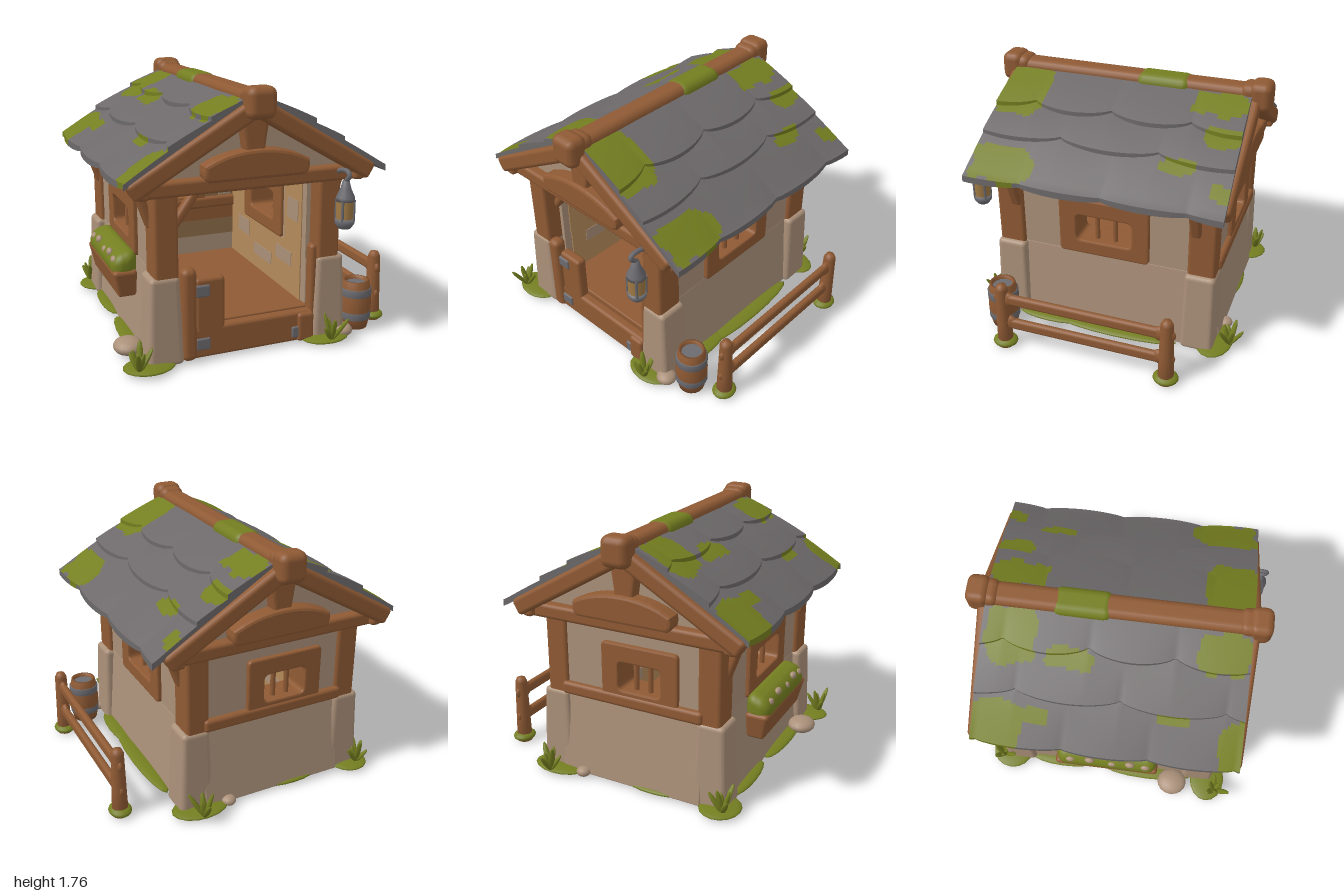
import * as THREE from 'three';
import { toCreasedNormals } from 'three/addons/utils/BufferGeometryUtils.js';
import { RoundedBoxGeometry } from 'three/addons/geometries/RoundedBoxGeometry.js';

const paint = (name, color) => {
  const m = new THREE.MeshStandardMaterial({ color });
  m.name = name;
  return m;
};

export function createModel() {
  const wood = paint('wood', 0x8f5a34), plaster = paint('plaster', 0xaa9079), slate = paint('slate', 0x6d696a);
  const moss = paint('moss', 0x747e20), tan = paint('aged plaster', 0x8f6d49), iron = paint('iron', 0x6b6b70);
  const glass = paint('lantern glass', 0xa07a45), warm = paint('warm plaster', 0xb48a5a);
  const model = new THREE.Group();
  model.name = 'cottage';
  const house = new THREE.Group();
  house.name = 'house';
  house.position.x = -0.135;
  model.add(house);

  const add = (parent, name, geo, mat, x = 0, y = 0, z = 0) => {
    const m = new THREE.Mesh(geo, mat);
    m.name = name;
    m.position.set(x, y, z);
    parent.add(m);
    return m;
  };
  // rounded beam; r is the edge radius
  const box = (parent, name, mat, w, h, d, x, y, z, r = 0.025) =>
    add(parent, name, new RoundedBoxGeometry(w, h, d, 2, Math.min(r, w / 2.1, h / 2.1, d / 2.1)), mat, x, y, z);
  const blob = (parent, name, mat, rx, ry, rz, x, y, z) => {
    const m = add(parent, name, new THREE.SphereGeometry(1, 16, 10), mat, x, y, z);
    m.scale.set(rx, ry, rz);
    return m;
  };
  // move the vertices of a geometry by a rule
  const bend = (geo, rule) => {
    const p = geo.attributes.position, v = new THREE.Vector3();
    for (let i = 0; i < p.count; i++) { rule(v.fromBufferAttribute(p, i)); p.setXYZ(i, v.x, v.y, v.z); }
    geo.computeVertexNormals();
    return geo;
  };
  const roundRect = (C, x0, x1, y0, y1, r) => {
    const s = new C();
    s.moveTo(x0 + r, y0); s.lineTo(x1 - r, y0); s.quadraticCurveTo(x1, y0, x1, y0 + r);
    s.lineTo(x1, y1 - r); s.quadraticCurveTo(x1, y1, x1 - r, y1);
    s.lineTo(x0 + r, y1); s.quadraticCurveTo(x0, y1, x0, y1 - r);
    s.lineTo(x0, y0 + r); s.quadraticCurveTo(x0, y0, x0 + r, y0);
    return s;
  };
  const extrude = (shape, depth, bevel = 0) => new THREE.ExtrudeGeometry(shape, {
    depth, curveSegments: 5, bevelEnabled: bevel > 0, bevelSize: bevel, bevelThickness: bevel, bevelSegments: 2 });

  // wall with a barred window, outer face at local z = 0
  const wall = (name, half, cx, hw, x, z, turn) => {
    const g = new THREE.Group();
    g.name = name;
    g.position.set(x, 0, z);
    g.rotation.y = turn;
    house.add(g);
    const panel = roundRect(THREE.Shape, -half, half, 0.55, 1.16, 0.001);
    panel.holes.push(roundRect(THREE.Path, cx - hw - 0.02, cx + hw + 0.02, 0.67, 0.93, 0.01));
    add(g, 'wallPanel', extrude(panel, 0.16), plaster, 0, 0, -0.16);
    const foot = new RoundedBoxGeometry(half * 2, 0.58, 0.16, 2, 0.008);
    add(g, 'wallFoot', bend(foot, v => { if (v.y < 0 && v.z > 0) v.z += 0.05; }), plaster, 0, 0.31, -0.078);
    const frame = roundRect(THREE.Shape, cx - hw - 0.1, cx + hw + 0.1, 0.61, 1.01, 0.02);
    frame.holes.push(roundRect(THREE.Path, cx - hw, cx + hw, 0.69, 0.91, 0.05));
    add(g, 'windowFrame', extrude(frame, 0.19, 0.012), wood, 0, 0, -0.172);
    for (const s of [-1, 1]) add(g, 'windowBar', new THREE.CylinderGeometry(0.018, 0.018, 0.26, 8), wood, cx + s * hw * 0.31, 0.8, -0.04);
    return g;
  };
  wall('rightWall', 0.66, 0, 0.21, 0.61, 0, Math.PI / 2);
  wall('leftWall', 0.66, 0, 0.21, -0.61, 0, -Math.PI / 2);
  const back = wall('backWall', 0.52, 0.07, 0.165, 0, -0.76, Math.PI);
  box(back, 'outerRail', wood, 1.04, 0.09, 0.06, 0, 0.63, 0.01);
  box(back, 'innerRail', wood, 1.0, 0.09, 0.06, 0, 0.645, -0.165);

  // aged patches inside the room
  const patch = (name, mat, w, h, d, x, y, z) => add(house, name, new THREE.BoxGeometry(w, h, d), mat, x, y, z);
  patch('backPatchUpper', tan, 0.27, 0.4, 0.008, 0.31, 0.88, -0.596);
  patch('backChip', plaster, 0.1, 0.09, 0.008, 0.37, 0.74, -0.592);
  patch('backPatchLower', tan, 0.92, 0.13, 0.008, 0, 0.435, -0.596);
  patch('backBoard', wood, 0.92, 0.1, 0.008, 0, 0.55, -0.596);
  for (const s of [-1, 1]) {
    patch('sideWash', warm, 0.008, 0.37, 1.2, s * 0.447, 0.415, 0);
    for (const z of [-0.47, 0.48]) patch('sideWash', warm, 0.008, 0.5, 0.25, s * 0.447, 0.85, z);
    for (const [y, z, h, d] of [[0.48, 0.35, 0.1, 0.24], [0.38, 0, 0.09, 0.3], [0.5, -0.35, 0.12, 0.2], [0.85, 0.48, 0.15, 0.16]])
      patch('sideChip', plaster, 0.008, h, d, s * 0.443, y, z);
  }

  // floor and front gate
  box(house, 'floor', wood, 1.1, 0.21, 1.42, 0, 0.125, -0.02, 0.01);
  box(house, 'base', wood, 1.24, 0.04, 1.5, 0, 0.03, 0, 0.01);
  box(house, 'gateSill', wood, 0.93, 0.21, 0.08, 0, 0.125, 0.74);
  box(house, 'gatePanel', wood, 0.2, 0.53, 0.08, -0.275, 0.295, 0.74);
  box(house, 'gatePost', wood, 0.1, 0.62, 0.1, -0.42, 0.33, 0.76, 0.04);
  box(house, 'gateEdge', wood, 0.05, 0.62, 0.08, 0.46, 0.37, 0.73);
  box(house, 'gateFoot', wood, 0.12, 0.2, 0.06, 0.4, 0.12, 0.77);
  for (const [x, y] of [[-0.33, 0.48], [-0.33, 0.12], [0.35, 0.09]]) box(house, 'hinge', iron, 0.1, 0.08, 0.03, x, y, 0.777, 0.012);

  for (const s of [-1, 1]) {
    // corner posts on flared plaster feet
    for (const t of [-1, 1]) {
      box(house, 'cornerPost', wood, 0.16, 0.62, 0.19, s * 0.56, 0.86, t * 0.685);
      const foot = new RoundedBoxGeometry(0.19, 0.59, 0.21, 3, 0.03);
      add(house, 'postFoot', bend(foot, v => {
        const k = 1 + 0.28 * Math.max(0, 0.3 - v.y) / 0.6;
        v.x *= k; v.z *= 1 + (k - 1) * 0.4;
      }), plaster, s * 0.575, 0.305, t * 0.685);
      // eave bracket
      const brace = box(house, 'eaveBracket', wood, 0.06, 0.27, 0.08, s * 0.66, 1.02, t * 0.64);
      brace.rotation.z = -s * 0.34;
      // gable rafters
      const rafter = box(house, 'rafter', wood, 0.93, 0.12, 0.12, s * 0.4, 1.635 - 0.58 * 0.4, t * 0.83, 0.03);
      rafter.rotation.z = -s * Math.atan(0.58);
    }
    box(house, 'wallPlate', wood, 0.13, 0.22, 1.4, s * 0.535, 1.2, 0);
    box(house, 'eaveBeam', wood, 0.08, 0.09, 1.74, s * 0.72, 1.165, 0);

    // gable ends
    const tri = new THREE.Shape([[-0.68, 1.15], [0.68, 1.15], [0.68, 1.26], [0, 1.65], [-0.68, 1.26]].map(p => new THREE.Vector2(...p)));
    add(house, 'gable', extrude(tri, 0.08), plaster, 0, 0, s * 0.72 - 0.04);
    box(house, 'tieBeam', wood, 1.46, 0.1, 0.14, 0, 1.165, s * 0.76);
    const arch = new THREE.Shape();
    arch.moveTo(-0.3, 1.21); arch.lineTo(0.32, 1.21); arch.quadraticCurveTo(0.35, 1.22, 0.34, 1.28);
    arch.quadraticCurveTo(0.2, 1.355, 0.01, 1.355);
    arch.quadraticCurveTo(-0.18, 1.355, -0.32, 1.28); arch.quadraticCurveTo(-0.33, 1.22, -0.3, 1.21);
    add(house, 'archBeam', extrude(arch, 0.08, 0.02), wood, 0, 0, s * 0.81 - 0.04);
    const king = new RoundedBoxGeometry(0.13, 0.26, 0.1, 2, 0.02);
    add(house, 'kingPost', bend(king, v => { if (v.y > 0) v.x *= 1.5; }), wood, 0, 1.47, s * 0.79);
    box(house, 'ridgeEnd', wood, 0.19, 0.2, 0.15, 0, 1.665, s * 0.885, 0.05);
    box(house, 'ridgeCollar', wood, 0.175, 0.185, 0.12, 0, 1.655, s * 0.81, 0.05);
  }
  const knee = box(house, 'kneeBrace', wood, 0.06, 0.34, 0.07, -0.4, 1.0, 0.66);
  knee.rotation.z = -0.62;
  box(house, 'ridgeBeam', wood, 0.16, 0.17, 1.8, 0, 1.645, 0, 0.05);
  box(house, 'ridgeMoss', moss, 0.19, 0.17, 0.39, 0, 1.65, -0.225, 0.06);

  // roof slopes: closed cross-sections stepped in three courses of scalloped stones, moss chosen per face
  const mossSpots = [[0.16, -0.66, 0.1, 0.18], [0.41, -0.74, 0.06, 0.12], [0.62, -0.5, 0.04, 0.12], [0.73, -0.82, 0.05, 0.07],
    [0.24, 0.7, 0.2, 0.18], [0.77, 0.64, 0.12, 0.22], [-0.73, -0.72, 0.14, 0.18], [-0.66, -0.48, 0.05, 0.1],
    [-0.32, -0.28, 0.06, 0.15], [-0.22, -0.66, 0.17, 0.16], [-0.2, 0.68, 0.12, 0.17], [-0.71, 0.8, 0.14, 0.09], [-0.6, 0.42, 0.03, 0.1]];
  const mossy = (x, z) => mossSpots.some(([a, b, u, w]) =>
    ((x - a) / u) ** 4 + ((z - b) / w) ** 4 < 1 + 0.4 * Math.sin(x * 30) * Math.sin(z * 24));
  for (const s of [-1, 1]) {
    const edges = s > 0 ? [0, 0.38, 0.6, 0.895] : [0, 0.3, 0.57, 0.855], nz = 100, nt = 12, n = 3 * (nt + 1), pos = [];
    const stone = (k, z) => Math.abs(Math.sin(z * (k === 2 ? 4.6 : 5.6) + k * 1.9 + s)) ** 0.6;
    const edge = (k, z) => edges[k] + [0, 0.07, 0.06, 0.03][k] * (stone(k, z) - 0.7);
    for (let i = 0; i <= nz; i++) {
      const z = -0.87 + 1.75 * i / nz, low = [];
      for (let k = 0; k < 3; k++) for (let j = 0; j <= nt; j++) {
        const t = j / nt, d = THREE.MathUtils.lerp(edge(k, z), edge(k + 1, z), t), zz = z * (0.955 + 0.05 * d);
        pos.push(s * d, 1.71 - 0.585 * d + 0.035 * Math.sin(Math.PI * Math.min(1, d / 0.875)) + t * (0.012 + 0.018 * stone(k + 1, z)), zz);
        low.unshift([s * d, 1.69 - 0.58 * d, zz]);
      }
      pos.push(...low.flat());
    }
    const L = 2 * n, faces = [[], []];
    const quad = (m, a, b, c, d) => faces[m].push(...(s > 0 ? [a, b, d, b, c, d] : [a, d, b, b, d, c]));
    for (let i = 0; i < nz; i++) for (let j = 0; j < L; j++) {
      const a = i * L + j, b = i * L + (j + 1) % L;
      const m = j < n && mossy(pos[a * 3], pos[a * 3 + 2]) ? 1 : 0;
      quad(m, a, a + L, b + L, b);
    }
    for (let j = 0; j < n - 1; j++) {
      const e = nz * L;
      quad(0, j, j + 1, L - 2 - j, L - 1 - j);
      quad(0, e + j, e + L - 1 - j, e + L - 2 - j, e + j + 1);
    }
    const geo = new THREE.BufferGeometry();
    geo.setAttribute('position', new THREE.Float32BufferAttribute(pos, 3));
    geo.setIndex([...faces[0], ...faces[1]]);
    geo.addGroup(0, faces[0].length, 0);
    geo.addGroup(faces[0].length, faces[1].length, 1);
    add(house, 'roofSlope', toCreasedNormals(geo, 0.6), [slate, moss]);
  }

  const lathe = pts => new THREE.LatheGeometry(pts.map(p => new THREE.Vector2(...p)), 18);
  // lantern on a hook
  const hook = new THREE.CatmullRomCurve3([[0, 1.17, 0.8], [0, 1.2, 0.88], [0, 1.2, 0.95], [0, 1.18, 0.965], [0, 1.14, 0.925]].map(p => new THREE.Vector3(...p)));
  add(model, 'lanternHook', new THREE.TubeGeometry(hook, 16, 0.016, 7), iron, 0.45);
  add(model, 'lanternCap', lathe([[0, 1.0], [0.062, 1.01], [0.06, 1.035], [0.035, 1.09], [0.022, 1.14], [0, 1.15]]), iron, 0.45, 0, 0.925);
  add(model, 'lanternGlass', lathe([[0.055, 0.88], [0.058, 1.02]]), glass, 0.45, 0, 0.925);
  add(model, 'lanternBase', lathe([[0, 0.825], [0.04, 0.83], [0.062, 0.86], [0.062, 0.895], [0, 0.895]]), iron, 0.45, 0, 0.925);
  for (let i = 0; i < 4; i++) {
    const a = i * Math.PI / 2 + Math.PI / 4;
    add(model, 'lanternBar', new THREE.CylinderGeometry(0.009, 0.009, 0.14, 6), iron, 0.45 + 0.058 * Math.cos(a), 0.95, 0.925 + 0.058 * Math.sin(a));
  }

  // barrel
  add(model, 'barrel', lathe([[0, 0.02], [0.088, 0.02], [0.105, 0.1], [0.11, 0.19], [0.105, 0.28], [0.09, 0.36], [0.074, 0.36], [0.07, 0.33]]), wood, 0.7, 0, 0.69);
  for (const y of [0.115, 0.28]) add(model, 'barrelHoop', lathe([[0.1, y - 0.028], [0.109, y - 0.025], [0.109, y + 0.025], [0.1, y + 0.028]]), iron, 0.7, 0, 0.69);
  add(model, 'barrelLid', new THREE.CylinderGeometry(0.074, 0.074, 0.02, 18), iron, 0.7, 0.325, 0.69);

  // fence with thickened joints
  for (const z of [-0.58, 0.585]) {
    add(model, 'fencePost', lathe([[0, 0], [0.056, 0], [0.05, 0.2], [0.043, 0.47], [0.03, 0.5], [0, 0.508]]), wood, 0.905, 0, z);
    blob(model, 'fenceMoss', moss, 0.078, 0.035, 0.088, 0.905, 0.035, z);
    for (const y of [0.2, 0.39]) blob(model, 'railJoint', wood, 0.03, 0.058, 0.085, 0.905, y, z * 0.96);
  }
  for (const y of [0.195, 0.393]) box(model, 'fenceRail', wood, 0.05, 0.08, 1.16, 0.905, y, 0);

  // flower box under the left window, filled with a moss mound
  const trough = new RoundedBoxGeometry(0.16, 0.19, 0.74, 2, 0.025);
  add(model, 'flowerBox', bend(trough, v => { if (v.y < 0) { v.x = v.x * 0.8 + 0.015; v.z *= 0.93; } }), wood, -0.845, 0.425, 0);
  const mound = new RoundedBoxGeometry(0.17, 0.2, 0.72, 5, 0.07);
  add(model, 'flowerMoss', bend(mound, v => { if (v.y > 0) v.y -= Math.max(0, 0.085 - v.x) * 0.3; }), moss, -0.84, 0.56, 0);
  for (const [y, z] of [[0.58, -0.26], [0.6, -0.12], [0.575, 0.04], [0.6, 0.17], [0.58, 0.28]])
    blob(model, 'flower', plaster, 0.022, 0.028, 0.035, -0.9, y, z);

  // moss pads, stones and grass round the foot
  for (const [x, z, rx, rz] of [[-0.82, 0.77, 0.17, 0.13], [0.41, 0.79, 0.17, 0.12], [-0.78, -0.76, 0.14, 0.15], [0.42, -0.79, 0.2, 0.13],
    [0.55, -0.1, 0.07, 0.45], [0.54, 0.4, 0.07, 0.25], [-0.81, 0.3, 0.07, 0.35], [-0.8, -0.35, 0.06, 0.25], [-0.3, -0.77, 0.2, 0.06]])
    blob(model, 'mossPad', moss, rx, 0.022, rz, x, 0.028, z);
  blob(model, 'stone', plaster, 0.1, 0.055, 0.11, -0.88, 0.06, 0.5);
  blob(model, 'stone', plaster, 0.07, 0.045, 0.07, 0.55, 0.05, 0.78);
  blob(model, 'stone', plaster, 0.05, 0.035, 0.05, 0.22, 0.04, -0.82);
  for (const [x, z] of [[-0.9, 0.83], [0.42, 0.87], [-0.82, -0.82], [0.44, -0.9]])
    for (let i = 0; i < 6; i++) {
      const pivot = new THREE.Group();
      pivot.name = 'grassBlade';
      pivot.position.set(x, 0.03, z);
      pivot.rotation.y = i * 1.05 + x;
      const len = 0.13 + 0.03 * (i % 3), lean = 0.28 + 0.3 * (i % 2);
      const blade = add(pivot, 'blade', new THREE.SphereGeometry(1, 8, 6), moss, Math.sin(lean) * len / 2, Math.cos(lean) * len / 2, 0);
      blade.scale.set(0.015, len / 2 + 0.01, 0.022);
      blade.rotation.z = -lean;
      model.add(pivot);
    }
  return model;
}
